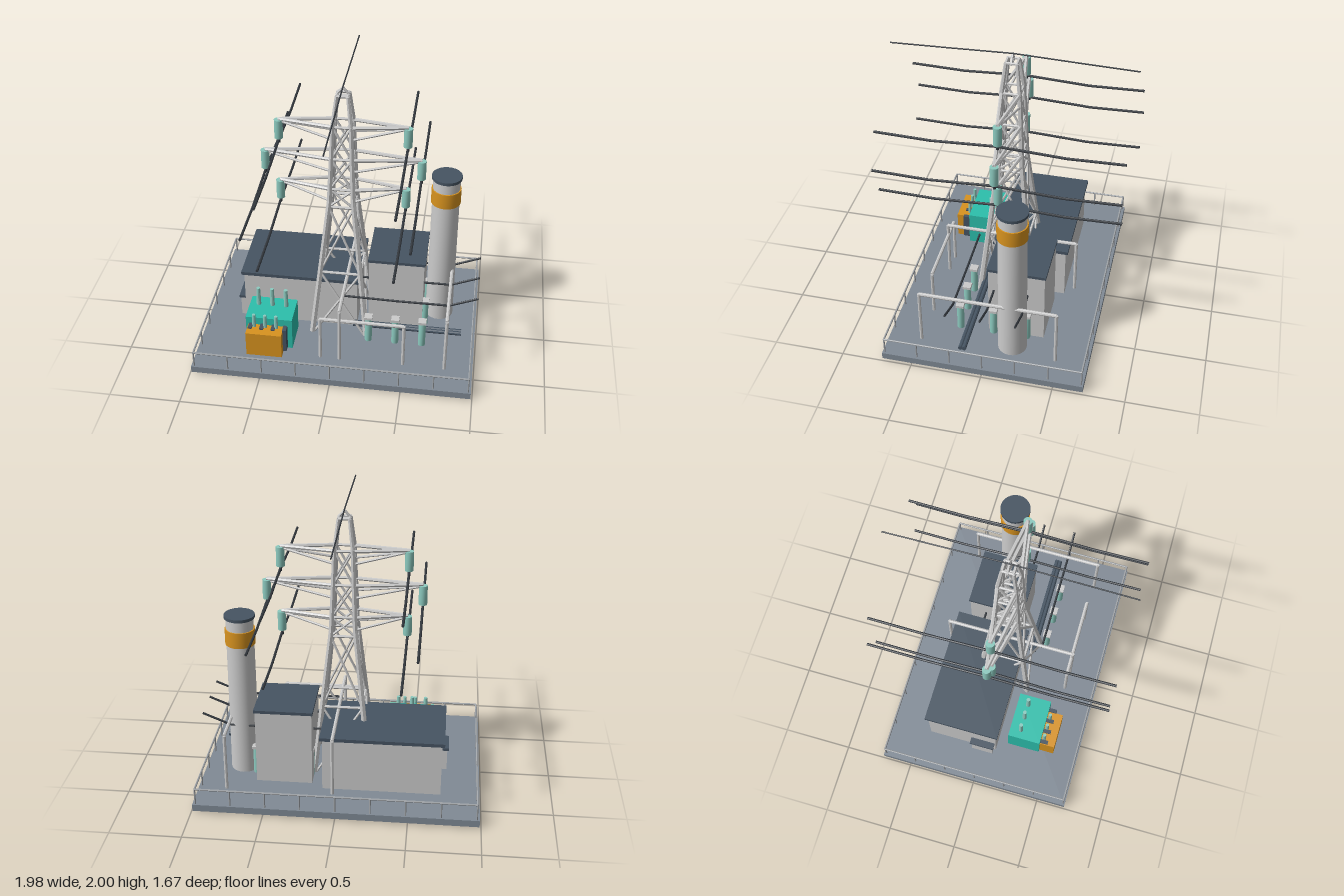
import * as THREE from 'three';
import { toCreasedNormals } from 'three/addons/utils/BufferGeometryUtils.js';

const mat = (color) => new THREE.MeshStandardMaterial({ color });
const grey = mat(0xcccccc), slab = mat(0x808a95), dark = mat(0x465462), wireMat = mat(0x33383e);
const teal = mat(0x2cbfac), glass = mat(0x8ccabf), orange = mat(0xd8931f), rail = mat(0xa0a4a8);
const V = (x, y, z) => new THREE.Vector3(x, y, z);

export function createModel() {
  const model = new THREE.Group();
  model.name = 'substation';

  const group = (name) => {
    const g = new THREE.Group();
    g.name = name;
    model.add(g);
    return g;
  };
  const add = (parent, name, geo, material) => {
    const m = new THREE.Mesh(geo, material);
    m.name = name;
    parent.add(m);
    return m;
  };
  // Box given by its extents on each axis
  const box = (parent, name, [x0, x1], [y0, y1], [z0, z1], material) => {
    const m = add(parent, name, new THREE.BoxGeometry(x1 - x0, y1 - y0, z1 - z0), material);
    m.position.set((x0 + x1) / 2, (y0 + y1) / 2, (z0 + z1) / 2);
    return m;
  };
  // Upright cylinder between two heights
  const post = (parent, name, x, z, y0, y1, r, material, sides = 12, rTop = r) => {
    const geo = toCreasedNormals(new THREE.CylinderGeometry(rTop, r, y1 - y0, sides), 0.6);
    const m = add(parent, name, geo, material);
    m.position.set(x, (y0 + y1) / 2, z);
    return m;
  };
  // Straight bar between two points
  const bar = (parent, name, a, b, r, material = grey, sides = 6, rEnd = r) => {
    const geo = toCreasedNormals(new THREE.CylinderGeometry(rEnd, r, a.distanceTo(b), sides), 0.6);
    const m = add(parent, name, geo, material);
    m.position.copy(a).add(b).multiplyScalar(0.5);
    m.quaternion.setFromUnitVectors(V(0, 1, 0), b.clone().sub(a).normalize());
    return m;
  };
  const chain = (parent, name, pts, r, material) => {
    for (let i = 1; i < pts.length; i++) bar(parent, name, pts[i - 1], pts[i], r, material, 8);
  };

  // Base slab
  box(model, 'base', [-0.99, 0.99], [0.01, 0.06], [-0.71, 0.71], slab);

  // Perimeter fence
  const fence = group('fence');
  const fx = 0.97, fz = 0.695, fy = 0.178;
  for (const s of [-1, 1]) {
    bar(fence, 'fenceRail', V(-fx, fy, s * fz), V(fx, fy, s * fz), 0.007, rail);
    bar(fence, 'fenceRail', V(s * fx, fy, -fz), V(s * fx, fy, fz), 0.007, rail);
    for (let i = 0; i <= 8; i++) post(fence, 'fencePost', -fx + (i * fx) / 4, s * fz, 0.06, fy, 0.006, rail, 6);
    for (let i = 1; i < 6; i++) post(fence, 'fencePost', s * fx, -fz + (i * fz) / 3, 0.06, fy, 0.006, rail, 6);
  }

  // Lattice tower: half-width by height
  const tower = group('tower');
  const profile = [[0, 0.205], [1.15, 0.083], [1.73, 0.062], [1.94, 0.038]];
  const half = (y) => {
    const i = Math.max(1, profile.findIndex((p) => p[0] >= y));
    const [y0, w0] = profile[i - 1], [y1, w1] = profile[i];
    return w0 + ((y - y0) / (y1 - y0)) * (w1 - w0);
  };
  const signs = [[1, 1], [-1, 1], [-1, -1], [1, -1]];
  const corner = (k, y) => V(signs[k % 4][0] * half(y), y, signs[k % 4][1] * half(y));
  const levels = [0.03, 0.57, 1.1, 1.24, 1.475, 1.72, 1.94];
  for (let k = 0; k < 4; k++) {
    for (let i = 1; i < profile.length; i++) {
      bar(tower, 'towerLeg', corner(k, profile[i - 1][0]), corner(k, profile[i][0]),
        0.025 - i * 0.003, grey, 6, 0.022 - i * 0.003);
    }
    for (let i = 1; i < levels.length; i++) {
      const y0 = levels[i - 1], y1 = levels[i];
      bar(tower, 'towerRing', corner(k, y1), corner(k + 1, y1), 0.01);
      if (i < levels.length - 1) {
        bar(tower, 'towerBrace', corner(k, y0), corner(k + 1, y1), 0.009);
        bar(tower, 'towerBrace', corner(k + 1, y0), corner(k, y1), 0.009);
      }
    }
  }
  for (const s of [-1, 1]) bar(tower, 'towerPeak', V(s * 0.045, 1.935, 0), V(0, 1.99, 0), 0.009);
  bar(tower, 'towerPeakBeam', V(-0.045, 1.935, 0), V(0.045, 1.935, 0), 0.009);

  // Cross-arms with hanging insulators and conductors
  const lines = group('powerLines');
  for (const [y, tip] of [[1.72, 0.44], [1.475, 0.54], [1.24, 0.44]]) {
    for (const s of [-1, 1]) {
      const x = s * tip;
      for (const t of [-1, 1]) {
        bar(tower, 'armTopChord', V(s * half(y), y, t * half(y)), V(x, y, 0), 0.013);
        bar(tower, 'armLowerChord', V(s * half(y - 0.09), y - 0.09, t * half(y - 0.09)), V(x, y - 0.01, 0), 0.009);
      }
      post(lines, 'insulator', x, 0, y - 0.145, y - 0.005, 0.03, glass);
      post(lines, 'conductorClamp', x, 0, y - 0.182, y - 0.14, 0.01, wireMat, 8);
      const w = y - 0.162;
      chain(lines, 'conductor', [V(x, w - 0.01, -0.835), V(x, w - 0.021, -0.45), V(x, w + 0.002, 0),
        V(x, w - 0.021, 0.45), V(x, w - 0.01, 0.835)], 0.009, wireMat);
    }
  }
  chain(lines, 'groundWire', [V(0, 1.97, -0.835), V(0, 1.982, -0.42), V(0, 1.996, 0),
    V(0, 1.982, 0.42), V(0, 1.97, 0.835)], 0.005, wireMat);

  // Buildings: walls with an overhanging flat roof
  const building = (name, [x0, x1], top, [z0, z1], over, thick) => {
    const g = group(name);
    box(g, 'walls', [x0 + over, x1 - over], [0.06, top - thick], [z0 + over, z1 - over], grey);
    box(g, 'roof', [x0, x1], [top - thick, top], [z0, z1], dark);
  };
  building('controlHouse', [-0.735, 0.135], 0.48, [-0.435, 0.115], 0.018, 0.025);
  building('tallBuilding', [0.188, 0.602], 0.635, [-0.367, 0.048], 0.008, 0.022);
  building('entrancePorch', [-0.765, -0.68], 0.24, [-0.09, 0.09], 0.01, 0.02);

  // Chimney stack
  const chimney = group('chimney');
  post(chimney, 'chimneyShaft', 0.71, -0.16, 0.06, 1.255, 0.102, grey, 24, 0.096);
  post(chimney, 'chimneyBand', 0.71, -0.16, 1.055, 1.17, 0.105, orange, 24);
  post(chimney, 'chimneyCap', 0.71, -0.16, 1.25, 1.272, 0.107, dark, 24);

  // Transformer: main tank, front cabinet, cooling fins and bushings
  const trafo = group('transformer');
  box(trafo, 'mainTank', [-0.645, -0.31], [0.06, 0.315], [0.175, 0.415], teal);
  box(trafo, 'frontCabinet', [-0.627, -0.37], [0.06, 0.255], [0.415, 0.525], orange);
  for (let i = 0; i < 4; i++) {
    const x = -0.607 + i * 0.083;
    box(trafo, 'coolingFin', [x - 0.014, x + 0.014], [0.075, 0.265], [0.41, 0.472], dark);
  }
  for (let i = 0; i < 3; i++) {
    post(trafo, 'tallBushing', -0.58 + i * 0.1, 0.255, 0.3, 0.46, 0.017, glass, 10, 0.014);
    post(trafo, 'shortBushing', -0.58 + i * 0.08, 0.437, 0.25, 0.36, 0.014, glass, 10, 0.012);
  }

  // Post insulators and incoming lines
  const yard = group('switchyard');
  for (const z of [-0.24, 0, 0.24]) {
    for (const x of [0.22, 0.415, 0.61]) {
      post(yard, 'postInsulator', x, z, 0.06, 0.26, 0.026, glass);
      box(yard, 'postCap', [x - 0.029, x + 0.029], [0.26, 0.28], [z - 0.029, z + 0.029], grey);
    }
    chain(yard, 'incomingLine', [V(0.04, 0.445, z), V(0.42, 0.438, z), V(0.79, 0.44, z), V(0.99, 0.523, z)],
      0.008, wireMat);
  }

  // Gantries
  const gantry = (a, b, y) => {
    for (const [x, z] of [a, b]) post(yard, 'gantryPost', x, z, 0.06, y, 0.012, grey, 8);
    bar(yard, 'gantryBeam', V(a[0], y, a[1]), V(b[0], y, b[1]), 0.013, grey, 8);
  };
  gantry([0.04, -0.48], [0.04, 0.48], 0.487);
  gantry([0.79, -0.48], [0.79, 0.48], 0.487);
  gantry([-0.097, 0.475], [0.495, 0.475], 0.407);

  // Twin cable pipes
  for (const z of [0.145, 0.17]) bar(yard, 'cablePipe', V(0.1, 0.132, z), V(0.89, 0.132, z), 0.016, dark, 10);

  return model;
}
